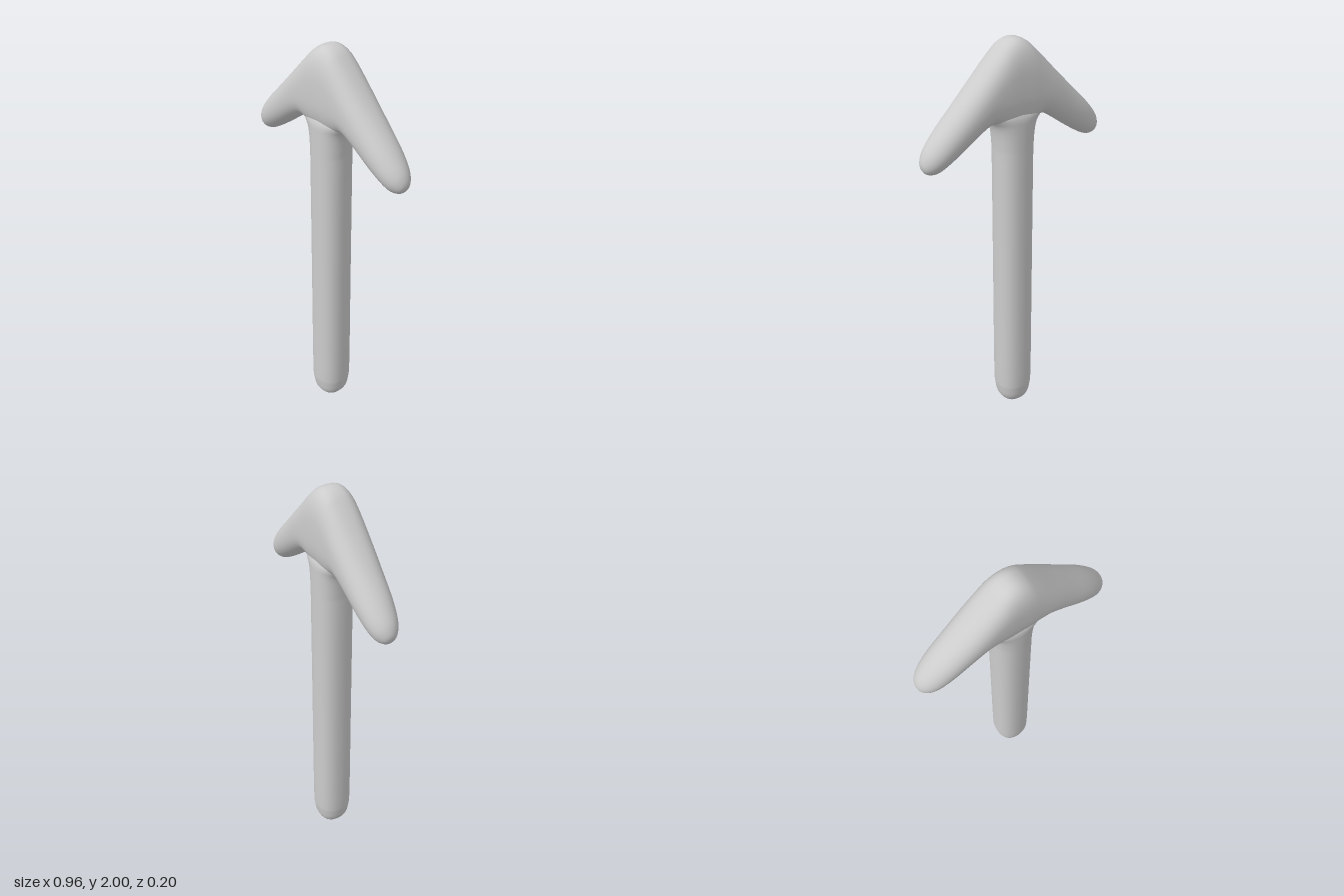
import * as THREE from 'three';

const SIDES = 40;

// Signed power, for rounded-square cross-sections
const spow = (v, e) => Math.sign(v) * Math.pow(Math.abs(v), e);

// Smoothly interpolates rows of numbers (Catmull-Rom in every column)
function smoothRows(rows, steps) {
  const out = [];
  const at = (i) => rows[Math.min(rows.length - 1, Math.max(0, i))];
  for (let i = 0; i < rows.length - 1; i++) {
    for (let s = 0; s < steps; s++) {
      const t = s / steps;
      out.push(rows[i].map((_, k) => {
        const p0 = at(i - 1)[k], p1 = at(i)[k], p2 = at(i + 1)[k], p3 = at(i + 2)[k];
        return 0.5 * (2 * p1 + (p2 - p0) * t + (2 * p0 - 5 * p1 + 4 * p2 - p3) * t * t
          + (3 * p1 - p0 - 3 * p2 + p3) * t * t * t);
      }));
    }
  }
  out.push(rows[rows.length - 1]);
  return out;
}

// Lofts rings; each row is: first edge x, y, second edge x, y, half depth in z, roundness
function loft(rows) {
  const pos = [], index = [];
  rows.forEach(([ax, ay, bx, by, depth, n]) => {
    for (let j = 0; j < SIDES; j++) {
      const a = (j / SIDES) * Math.PI * 2;
      const c = spow(Math.cos(a), 2 / n), s = spow(Math.sin(a), 2 / n);
      pos.push((ax + bx) / 2 + (ax - bx) / 2 * c, (ay + by) / 2 + (ay - by) / 2 * c, Math.max(0, depth) * s);
    }
  });
  for (let i = 0; i < rows.length - 1; i++) {
    for (let j = 0; j < SIDES; j++) {
      const k = (j + 1) % SIDES;
      const a = i * SIDES + j, b = i * SIDES + k, c = b + SIDES, d = a + SIDES;
      index.push(a, b, c, a, c, d);
    }
  }
  const g = new THREE.BufferGeometry();
  g.setAttribute('position', new THREE.Float32BufferAttribute(pos, 3));
  g.setIndex(index);
  g.computeVertexNormals();
  return g;
}

export function createModel() {
  const grey = new THREE.MeshStandardMaterial({ color: 0xcccccc });
  grey.name = 'light grey';
  const group = new THREE.Group();
  group.name = 'arrow';

  // Arrowhead: sections from the middle out to one tip, then mirrored
  const half = [
    [0, 2.0, 0, 1.6, 0.101, 2.7],
    [0.05, 1.985, 0.045, 1.6, 0.101, 2.7],
    [0.1, 1.942, 0.09, 1.61, 0.1, 2.6],
    [0.2, 1.837, 0.135, 1.625, 0.098, 2.4],
    [0.3, 1.735, 0.2, 1.59, 0.093, 2.2],
    [0.38, 1.655, 0.29, 1.525, 0.086, 2.1],
    [0.43, 1.6, 0.36, 1.478, 0.076, 2],
    [0.46, 1.56, 0.4, 1.456, 0.063, 2],
    [0.475, 1.528, 0.43, 1.45, 0.047, 2],
    [0.48, 1.5, 0.458, 1.457, 0.026, 2],
    [0.474, 1.474, 0.474, 1.474, 0, 2],
  ];
  const mirrored = half.slice(1).reverse().map(([ax, ay, bx, by, d, n]) => [-ax, ay, -bx, by, d, n]);
  const head = new THREE.Mesh(loft(smoothRows([...mirrored, ...half], 4)), grey);
  head.name = 'arrowhead';
  group.add(head);

  // Shaft: rounded foot, straight stem and a sideways flare into the head (y, half width, half depth)
  const stem = [
    [0, 0, 0], [0.005, 0.03, 0.03], [0.02, 0.057, 0.057], [0.05, 0.078, 0.078], [0.1, 0.088, 0.088],
    [0.2, 0.093, 0.093], [0.8, 0.093, 0.093], [1.4, 0.093, 0.093], [1.5, 0.095, 0.093],
    [1.57, 0.102, 0.093], [1.61, 0.114, 0.093], [1.635, 0.135, 0.092], [1.66, 0.155, 0.085],
    [1.7, 0.12, 0.06], [1.72, 0, 0],
  ];
  const rows = stem.map(([y, w, d]) => [-w, y, w, y, d, 2.3]);
  const shaft = new THREE.Mesh(loft(smoothRows(rows, 3)), grey);
  shaft.name = 'shaft';
  group.add(shaft);

  return group;
}
